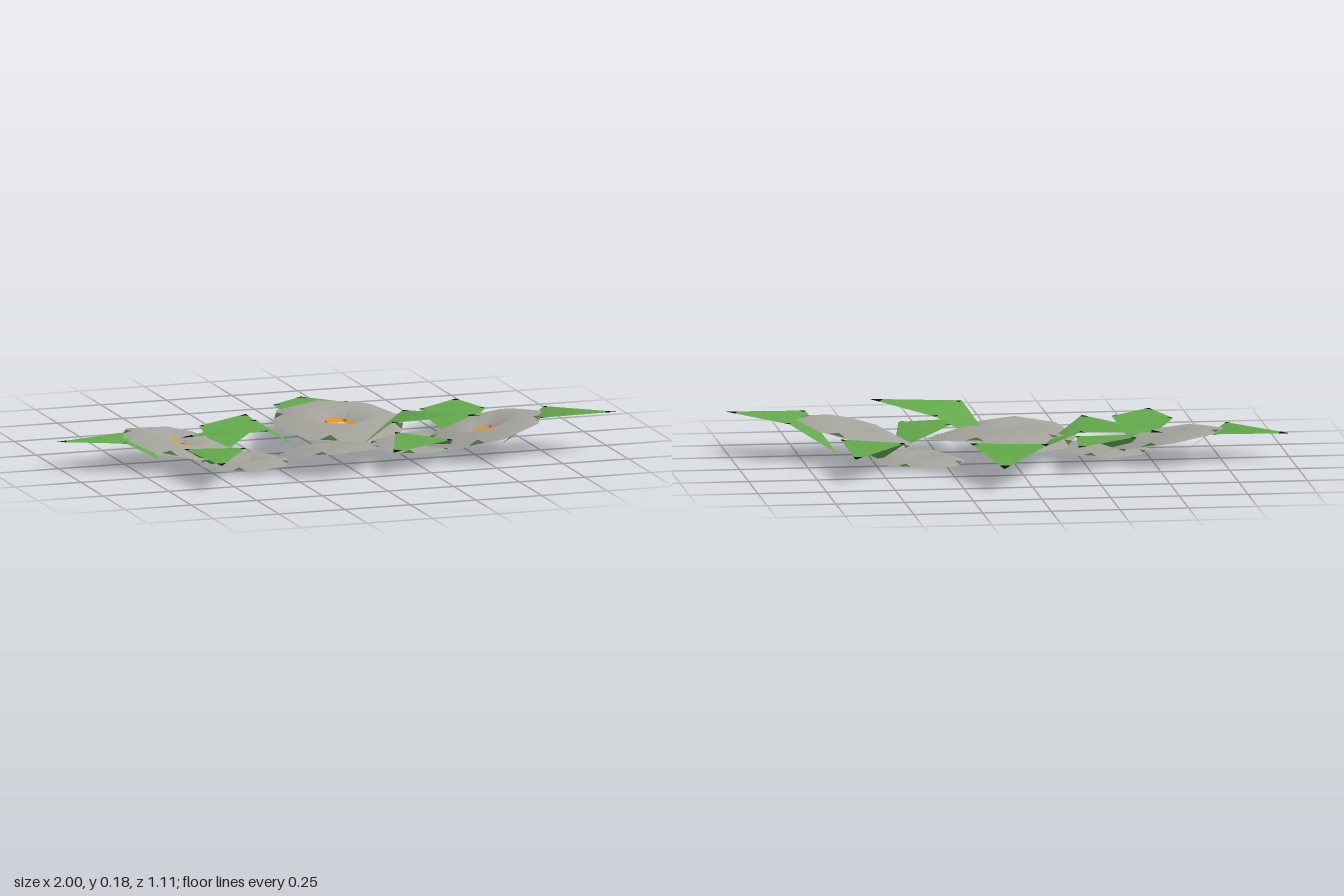
import * as THREE from 'three';
import { mergeVertices } from 'three/addons/utils/BufferGeometryUtils.js';

const mat = (name, color) => {
  const m = new THREE.MeshStandardMaterial({ color, side: THREE.DoubleSide });
  m.name = name;
  return m;
};

// Smooth mesh from [triangles, material] pairs, each triangle wound to face upward
function surface(name, parts) {
  const pos = [];
  let g = new THREE.BufferGeometry();
  parts.forEach(([tris], k) => {
    g.addGroup(pos.length / 3, tris.length * 3, k);
    for (const [a, b, c] of tris) {
      const ny = (b[2] - a[2]) * (c[0] - a[0]) - (b[0] - a[0]) * (c[2] - a[2]);
      pos.push(...a, ...(ny < 0 ? [...c, ...b] : [...b, ...c]));
    }
  });
  g.setAttribute('position', new THREE.Float32BufferAttribute(pos, 3));
  g = mergeVertices(g);
  g.computeVertexNormals();
  const mesh = new THREE.Mesh(g, parts.map(([, material]) => material));
  mesh.name = name;
  return mesh;
}

const mix = (a, b, t) => a.map((v, i) => v + (b[i] - v) * t);
const quad = (a, b, c, d) => [[a, b, c], [a, c, d]];

// Kite leaf bent across its widest line, with black corners
function leaf(tip, a, b, base, m) {
  const t1 = mix(tip, a, 0.15), t2 = mix(tip, b, 0.15);
  const a1 = mix(a, tip, 0.08), a2 = mix(a, b, 0.1);
  const b1 = mix(b, tip, 0.08), b2 = mix(b, a, 0.1);
  return surface('leaf', [
    [[[a, a2, base], [a2, b2, base], [b2, b, base],
      [t1, t2, b1], [t1, b1, b2], [t1, b2, a2], [t1, a2, a1]], m.green],
    [[[tip, t1, t2], [a, a1, a2], [b, b1, b2]], m.black],
  ]);
}

// Eight-sided flower: drooping rim, raised ridge and sunken centre.
// x, y, z is the middle of the ridge; sx and sz are the slopes of its tilt.
function flower([x, y, z], r, sx, sz, m) {
  const group = new THREE.Group();
  group.name = 'flower';
  const p = (px, pz, h) => [x + px * r, y + (h + sx * px + sz * pz) * r, z + pz * r];
  const ring = (i, rad, h) => p(Math.sin(i * Math.PI / 4) * rad, Math.cos(i * Math.PI / 4) * rad, h);
  const petals = [], marks = [];
  for (let i = 0; i < 8; i++) {
    const rim = [ring(i, 1, -0.14), ring(i + 1, 1, -0.14)];
    const ridge = [ring(i, 0.56, 0), ring(i + 1, 0.56, 0)];
    petals.push(...quad(rim[0], rim[1], ridge[1], ridge[0]));
    petals.push(...quad(ridge[0], ridge[1], ring(i + 1, 0.22, -0.16), ring(i, 0.22, -0.16)));
    // small sepal marks along the rim
    if (i % 2) {
      const inner = mix(mix(...rim, 0.4), mix(...ridge, 0.4), 0.3);
      marks.push([mix(...rim, 0.22), mix(...rim, 0.58), inner].map(([u, v, w]) => [u, v + 0.003, w]));
    }
  }
  // Centre: yellow floor, four orange sides, red corners turned up
  const s = 0.125, o = 0.23, c = 0.205, low = -0.19, high = -0.145;
  const floor = quad(p(-s, -s, low), p(s, -s, low), p(s, s, low), p(-s, s, low));
  const sides = [], corners = [];
  for (let k = 0; k < 4; k++) {
    const cos = [1, 0, -1, 0][k], sin = [0, 1, 0, -1][k];
    const q = (u, v, h) => p(u * cos + v * sin, v * cos - u * sin, h);
    sides.push(...quad(q(-s, s, low), q(s, s, low), q(s, o, high), q(-s, o, high)));
    corners.push(...quad(q(s, s, low), q(s, o, high), q(c, c, -0.125), q(o, s, high)));
  }
  group.add(
    surface('petals', [[petals, m.grey]]),
    surface('rimMarks', [[marks, m.olive]]),
    surface('centre', [[floor, m.yellow], [sides, m.orange], [corners, m.red]]));
  return group;
}

export function createModel() {
  const model = new THREE.Group();
  model.name = 'flowerPatch';
  const m = {
    grey: mat('petal grey', 0xa3a39c),
    green: mat('leaf green', 0x62a84a),
    black: mat('leaf tip black', 0x080c08),
    olive: mat('rim dark green', 0x4c6a3c),
    yellow: mat('centre yellow', 0xf0d052),
    orange: mat('centre orange', 0xf09822),
    red: mat('centre red', 0xd24028),
  };

  // Flowers: ridge middle, radius, slope along x, slope along z
  [
    [[-0.56, 0.108, 0.04], 0.21, -0.16, -0.09],
    [[0.07, 0.142, -0.01], 0.25, 0, -0.11],
    [[-0.065, 0.09, 0.27], 0.2, 0.04, 0.17],
    [[0.548, 0.125, 0.22], 0.217, 0.24, 0.02],
    [[0.34, 0.042, 0.05], 0.173, 0.02, 0],
    [[-0.35, 0.045, 0.175], 0.168, 0.02, 0.02],
  ].forEach(([c, r, sx, sz]) => model.add(flower(c, r, sx, sz, m)));

  // Leaves: tip, two side corners, base
  [
    [[-1, 0.1, -0.035], [-0.7, 0.11, -0.075], [-0.79, 0.115, 0.14], [-0.62, 0.02, 0.06]],
    [[-0.2, 0.105, -0.255], [-0.435, 0.11, -0.09], [-0.22, 0.11, -0.04], [-0.41, 0.03, 0.07]],
    [[-0.55, 0.1, 0.04], [-0.23, 0.125, -0.06], [-0.275, 0.14, 0.215], [-0.1, 0.035, 0.11]],
    [[-0.565, 0.1, 0.55], [-0.615, 0.11, 0.275], [-0.4, 0.112, 0.335], [-0.47, 0.02, 0.18]],
    [[0.11, 0.087, -0.555], [-0.09, 0.125, -0.28], [0.19, 0.125, -0.23], [0.05, 0.03, -0.09]],
    [[0.62, 0.092, -0.32], [0.41, 0.11, -0.11], [0.635, 0.115, -0.03], [0.48, 0.02, 0.06]],
    [[1, 0.156, 0.367], [0.8, 0.145, 0.14], [0.71, 0.153, 0.367], [0.62, 0.025, 0.19]],
    [[0.475, 0.185, 0.395], [0.27, 0.163, 0.12], [0.14, 0.175, 0.375], [0.03, 0.02, 0.19]],
    [[0.11, 0.09, 0.487], [0.2, 0.11, 0.24], [0.37, 0.1, 0.385], [0.41, 0.025, 0.21]],
  ].forEach(([t, a, b, base]) => model.add(leaf(t, a, b, base, m)));

  return model;
}
